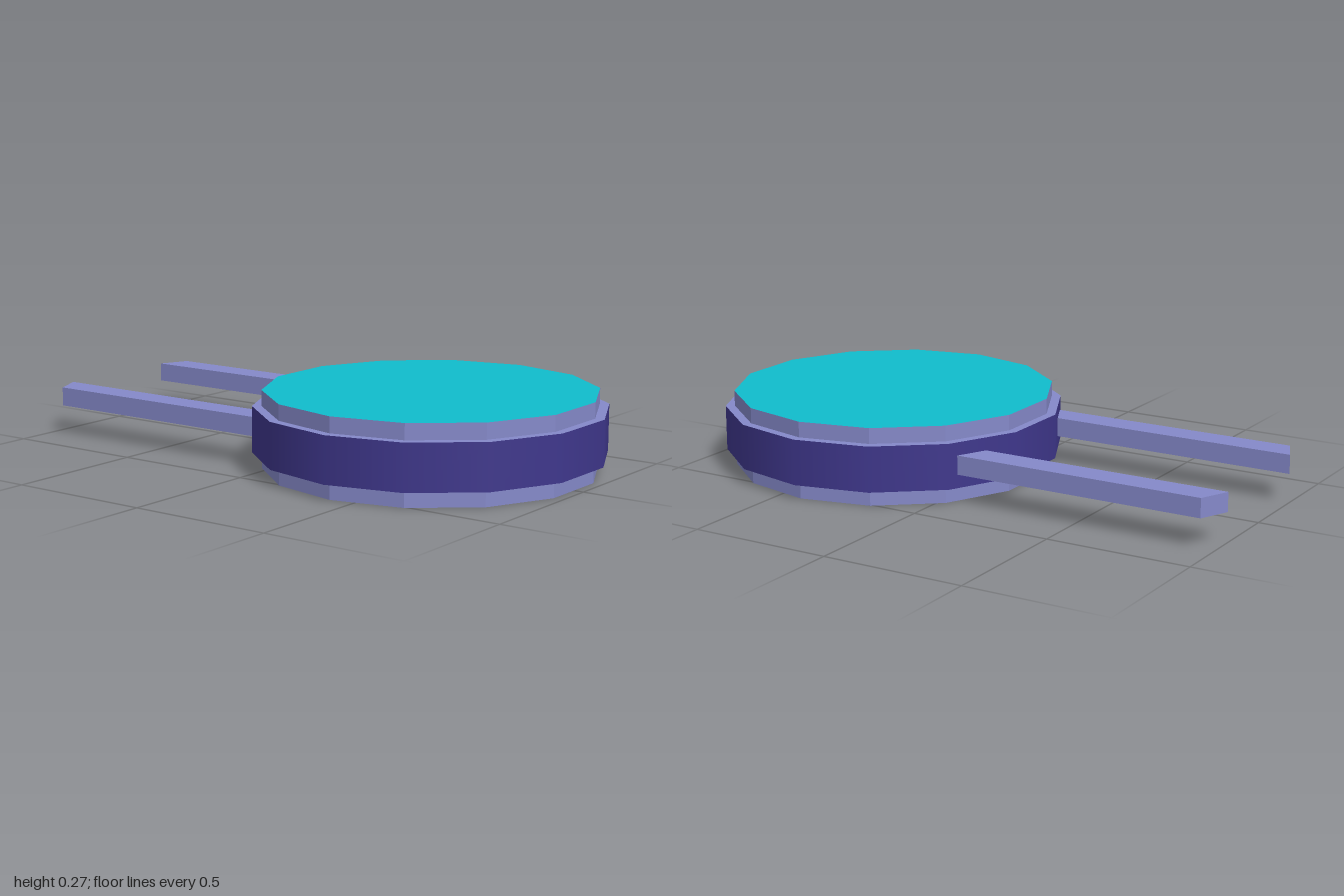
import * as THREE from 'three';

const SIDES = 14, CENTRE_Z = 0.415;
const BAND_R = 0.597, DISC_R = 0.565;
const HEIGHT = 0.267, BAND_LOW = 0.055, BAND_HIGH = 0.213;

export function createModel() {
  const model = new THREE.Group();
  const pale = new THREE.MeshStandardMaterial({ color: 0x8589c9, flatShading: true });
  const dark = new THREE.MeshStandardMaterial({ color: 0x3f378c });
  const teal = new THREE.MeshStandardMaterial({ color: 0x10bccc });

  const add = (name, geometry, material, y) => {
    const mesh = new THREE.Mesh(geometry, material);
    mesh.name = name;
    mesh.position.set(0, y, CENTRE_Z);
    model.add(mesh);
    return mesh;
  };
  // Prisms start at a quarter turn so that corners point to both sides
  const prism = (r, h, open) =>
    new THREE.CylinderGeometry(r, r, h, SIDES, 1, open, Math.PI / 2);

  // Inner disc with coloured faces
  add('disc', prism(DISC_R, HEIGHT, false), [pale, teal, teal], HEIGHT / 2);

  // Smooth outer band, closed by a ledge above and below
  add('band', prism(BAND_R, BAND_HIGH - BAND_LOW, true), dark, (BAND_LOW + BAND_HIGH) / 2);
  for (const [name, y, turn] of [['upperLedge', BAND_HIGH, -1], ['lowerLedge', BAND_LOW, 1]]) {
    const ledge = add(name, new THREE.RingGeometry(DISC_R, BAND_R, SIDES), pale, y);
    ledge.rotation.x = turn * Math.PI / 2;
  }

  // Two rear bars with slanted ends
  for (const [name, side] of [['leftBar', 1], ['rightBar', -1]]) {
    // Shape y becomes -z once the extrusion is laid flat
    const outline = new THREE.Shape([
      [0.24, 0.105], [0.342, 0.06], [0.342, 0.955], [0.24, 1],
    ].map(([x, back]) => new THREE.Vector2(side * x, back)));
    const geometry = new THREE.ExtrudeGeometry(outline, { depth: 0.066, bevelEnabled: false });
    geometry.rotateX(-Math.PI / 2);
    const bar = add(name, geometry, pale, 0.102);
    bar.position.z = 0;
  }
  return model;
}
